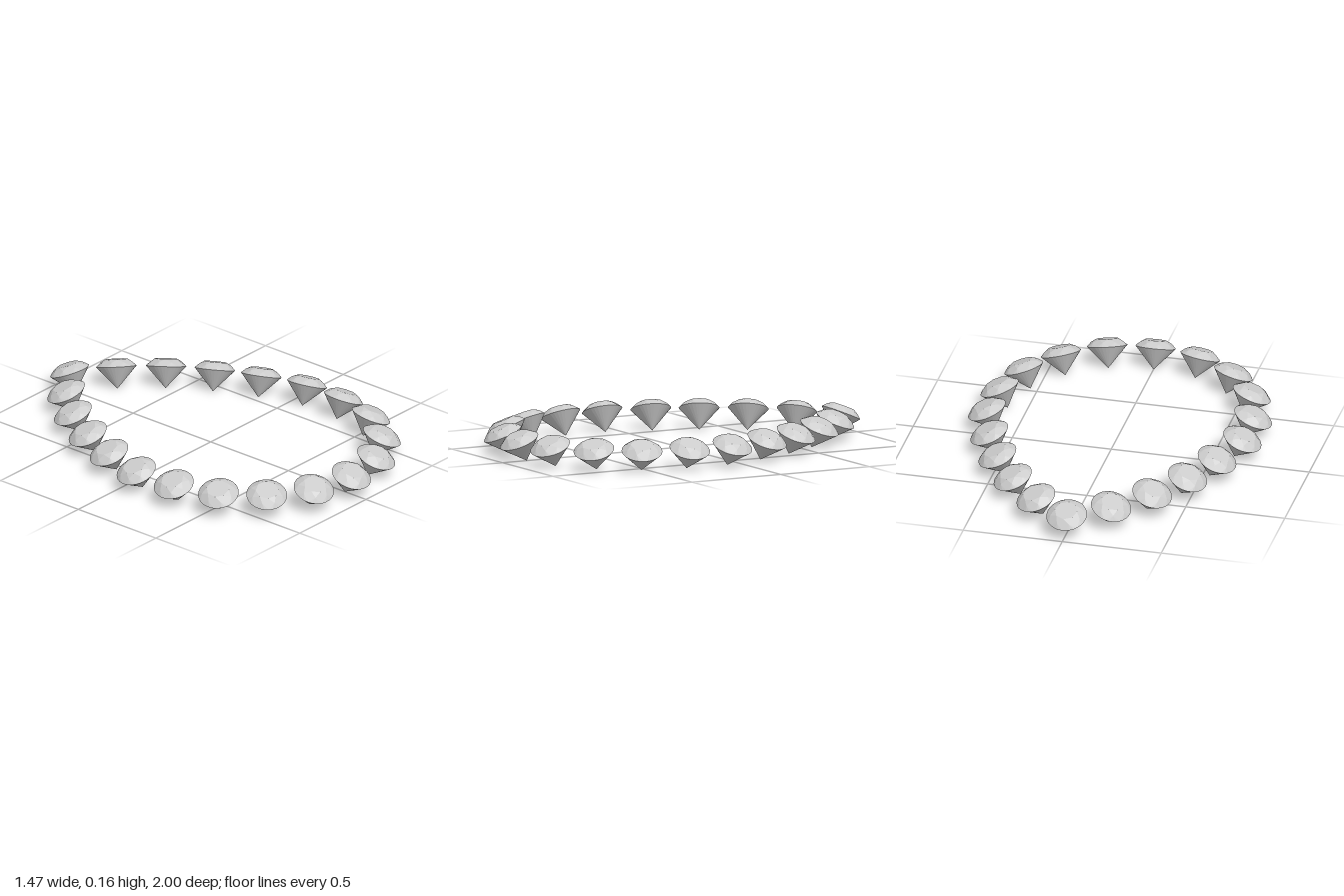
import * as THREE from 'three';

const RADIUS = 0.1, TABLE_R = 0.056, CROWN_H = 0.035, DEPTH = 0.11;
const TILT = 0.4, GIRDLE_Y = 0.102;

// Point on a horizontal ring; the angle is counted in eighths of a turn
function ring(radius, y, eighth) {
  const a = eighth * Math.PI / 4;
  return new THREE.Vector3(Math.sin(a) * radius, y, Math.cos(a) * radius);
}

// Round brilliant: octagonal table, star, kite and girdle facets, conical pavilion
function gemGeometry() {
  const pos = [];
  const tri = (...pts) => pts.forEach((p) => pos.push(p.x, p.y, p.z));
  const top = new THREE.Vector3(0, CROWN_H, 0);
  const culet = new THREE.Vector3(0, -DEPTH, 0);
  const midR = 0.08;
  // Height that keeps each kite facet flat
  const midY = CROWN_H * (RADIUS - midR * Math.cos(Math.PI / 8)) / (RADIUS - TABLE_R);
  const table = (k) => ring(TABLE_R, CROWN_H, k);
  const mid = (k) => ring(midR, midY, k + 0.5);
  const girdle = (k) => ring(RADIUS, 0, k);

  for (let k = 0; k < 8; k++) {
    tri(top, table(k), table(k + 1));
    tri(table(k), mid(k), table(k + 1));
    tri(table(k), mid(k - 1), girdle(k));
    tri(table(k), girdle(k), mid(k));
    for (let s = 0; s < 4; s++) {
      const a = girdle(k + s / 4), b = girdle(k + (s + 1) / 4);
      tri(mid(k), a, b);
      tri(culet, b, a);
    }
  }
  const geo = new THREE.BufferGeometry();
  geo.setAttribute('position', new THREE.Float32BufferAttribute(pos, 3));
  geo.computeVertexNormals();
  return geo;
}

export function createModel() {
  const group = new THREE.Group();
  group.name = 'gemRing';
  const material = new THREE.MeshStandardMaterial({ color: 0xcccccc, flatShading: true });
  const geo = gemGeometry();

  // Half of the pear-shaped outline (x, z), back tip to front, then mirrored
  const half = [
    [0, -0.91], [0.19, -0.77], [0.352, -0.588], [0.48, -0.383], [0.575, -0.165], [0.645, 0.07],
    [0.64, 0.308], [0.576, 0.541], [0.435, 0.732], [0.235, 0.865], [0, 0.906],
  ];
  const outline = [...half, ...half.slice(1, -1).reverse().map(([x, z]) => [-x, z])];

  // Each gem leans outward, square to the outline
  const n = outline.length;
  outline.forEach(([x, z], i) => {
    const [x0, z0] = outline[(i + n - 1) % n];
    const [x1, z1] = outline[(i + 1) % n];
    const gem = new THREE.Mesh(geo, material);
    gem.name = `gem${i + 1}`;
    gem.position.set(x, GIRDLE_Y, z);
    gem.rotation.order = 'YXZ';
    gem.rotation.set(TILT, Math.atan2(z1 - z0, -(x1 - x0)), 0);
    group.add(gem);
  });
  return group;
}
